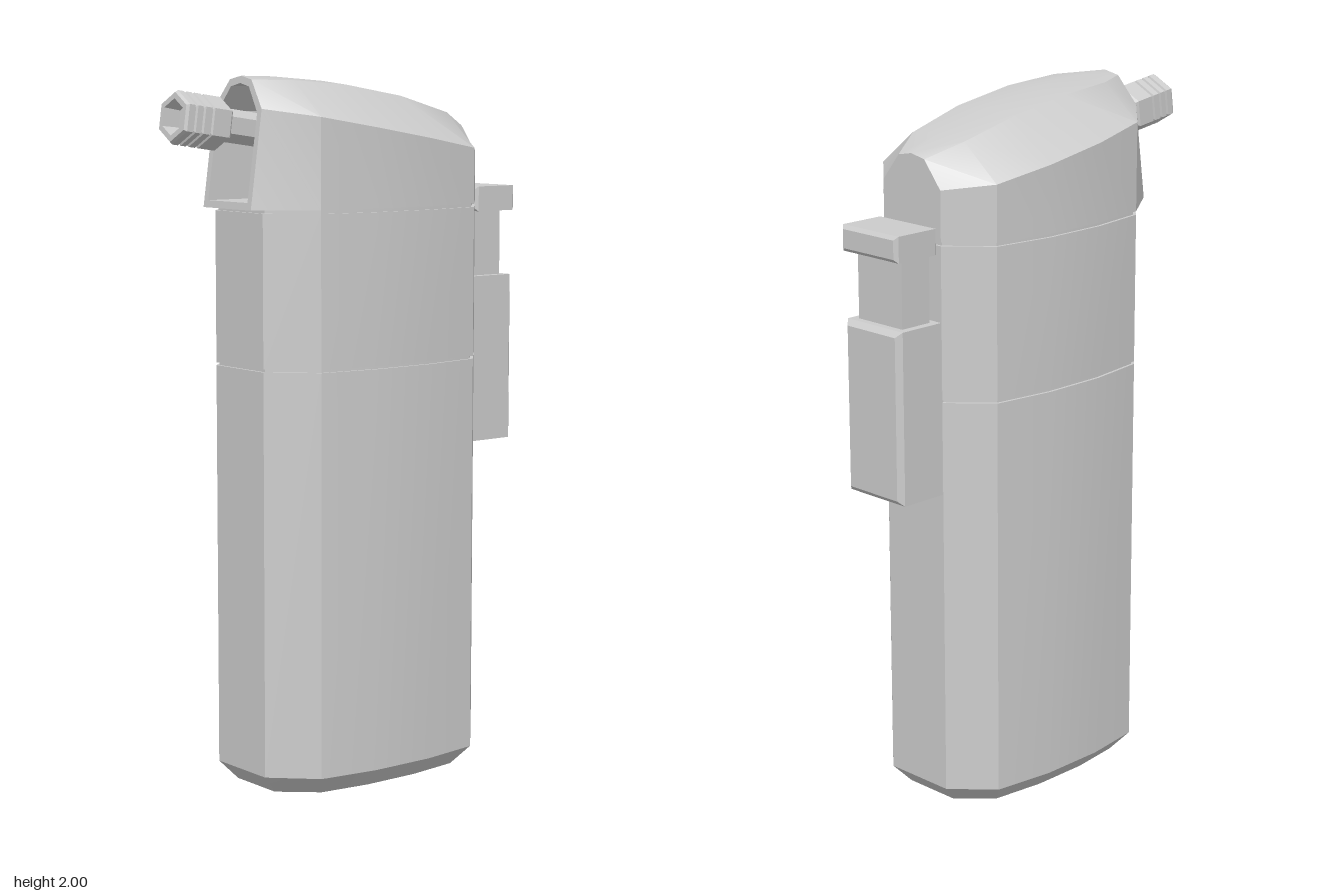
import * as THREE from 'three';
import { toCreasedNormals } from 'three/addons/utils/BufferGeometryUtils.js';

const material = new THREE.MeshStandardMaterial({ color: 0xcccccc });
const flatMaterial = new THREE.MeshStandardMaterial({ color: 0xcccccc, flatShading: true });

// Half outline of the case seen from above: [half width, z], front to back
const OUTLINE = [[0.11, 0.35], [0.22, 0.235], [0.245, 0.06], [0.245, -0.135], [0.22, -0.315], [0.11, -0.415]];

// Skin a list of closed rings and cap both ends
function loft(rings, crease = 0.45) {
  const n = rings[0].length;
  const pos = [];
  const tri = (...pts) => pts.forEach((p) => pos.push(...p));
  const centre = (ring) => [0, 1, 2].map((k) => ring.reduce((s, p) => s + p[k], 0) / n);
  const first = rings[0], last = rings[rings.length - 1];
  const c0 = centre(first), c1 = centre(last);
  for (let j = 0; j < n; j++) {
    const k = (j + 1) % n;
    for (let i = 0; i + 1 < rings.length; i++) {
      const a = rings[i], b = rings[i + 1];
      tri(a[j], a[k], b[k]);
      tri(a[j], b[k], b[j]);
    }
    tri(c0, first[k], first[j]);
    tri(c1, last[j], last[k]);
  }
  const geo = new THREE.BufferGeometry();
  geo.setAttribute('position', new THREE.Float32BufferAttribute(pos, 3));
  return toCreasedNormals(geo, crease);
}

// Horizontal ring of the case at height y, drawn in by inset
function caseRing(y, inset = 0) {
  const sx = 1 - inset / 0.245, sz = 1 - inset / 0.3825, zc = -0.0325;
  const right = OUTLINE.map(([x, z]) => [x * sx, y, zc + (z - zc) * sz]);
  const left = right.map(([x, , z]) => [-x, y, z]).reverse();
  return [...right, ...left];
}

// Upright cross-section of the head: wall, sloping shoulder and crown
function headRing(w, wallY, crownY, zAt) {
  const half = [[w, 1.64], [w, wallY], [w * 0.45, crownY - 0.01]];
  const pts = [...half, [0, crownY], ...half.map(([x, y]) => [-x, y]).reverse()];
  return pts.map(([x, y]) => [x, y, zAt(y)]);
}

// Block with chamfered front and back borders, placed by its bounds
function chamferBlock(w, y0, y1, z0, z1, c) {
  const x = w - c, s = new THREE.Shape();
  s.moveTo(-x, y0 + c).lineTo(x, y0 + c).lineTo(x, y1 - c).lineTo(-x, y1 - c).closePath();
  const geo = new THREE.ExtrudeGeometry(s, {
    depth: z1 - z0 - 2 * c, bevelEnabled: true, bevelSize: c, bevelThickness: c, bevelSegments: 1,
  });
  return geo.translate(0, 0, z0 + c);
}

export function createModel() {
  const group = new THREE.Group();
  const add = (name, geo, mat = material) => {
    const mesh = new THREE.Mesh(geo, mat);
    mesh.name = name;
    group.add(mesh);
    return mesh;
  };

  // Tank with chamfered foot and recessed underside
  add('tank', loft([
    caseRing(0.02, 0.075), caseRing(0, 0.07), caseRing(0, 0.05),
    caseRing(0.055), caseRing(1.197),
  ]));

  // Collar, with narrow seams below and above
  add('collar', loft([
    caseRing(1.19, 0.008), caseRing(1.205, 0.008), caseRing(1.205),
    caseRing(1.63), caseRing(1.63, 0.008), caseRing(1.65, 0.008),
  ]));

  // Head, lofted back to front and ending in the nozzle recess
  const slant = (y) => 0.39 - (y - 1.64) * 0.14;
  const front = headRing(0.11, 1.912, 2.0, slant);
  const inner = front.map(([x, y]) => {
    const v = 1.82 + (y - 1.82) * 0.89;
    return [x * 0.83, v, slant(v)];
  });
  const recess = inner.map(([x, y, z]) => [x, y, z - 0.14]);
  add('head', loft([
    headRing(0.11, 1.78, 1.865, () => -0.415),
    headRing(0.22, 1.797, 1.905, () => -0.315),
    headRing(0.245, 1.828, 1.953, () => -0.135),
    headRing(0.245, 1.861, 1.985, () => 0.06),
    headRing(0.22, 1.891, 1.998, () => 0.235),
    front, inner, recess,
  ]));

  // Six-sided nozzle: stem, finned barrel and bore
  const profile = [[0, 0], [0.046, 0], [0.046, 0.165], [0.066, 0.165], [0.073, 0.172]];
  for (const t of [0.228, 0.258, 0.284]) {
    profile.push([0.073, t], [0.066, t + 0.003], [0.066, t + 0.006], [0.073, t + 0.009]);
  }
  profile.push([0.073, 0.312], [0.067, 0.32], [0.05, 0.32], [0.046, 0.27], [0.028, 0.27], [0.028, 0.23], [0, 0.23]);
  const nozzle = add('nozzle',
    new THREE.LatheGeometry(profile.map(([r, t]) => new THREE.Vector2(r, t)), 6), flatMaterial);
  nozzle.position.set(0, 1.847, 0.25);
  nozzle.rotation.x = Math.PI / 2 - 0.14;

  // Push trigger on the back: housing, plunger and cap
  add('triggerHousing', chamferBlock(0.108, 0.935, 1.42, -0.57, -0.395, 0.015));
  add('triggerPlunger', new THREE.BoxGeometry(0.17, 0.24, 0.1).translate(0, 1.51, -0.485));
  add('triggerCap', chamferBlock(0.108, 1.608, 1.68, -0.575, -0.422, 0.01));

  return group;
}
